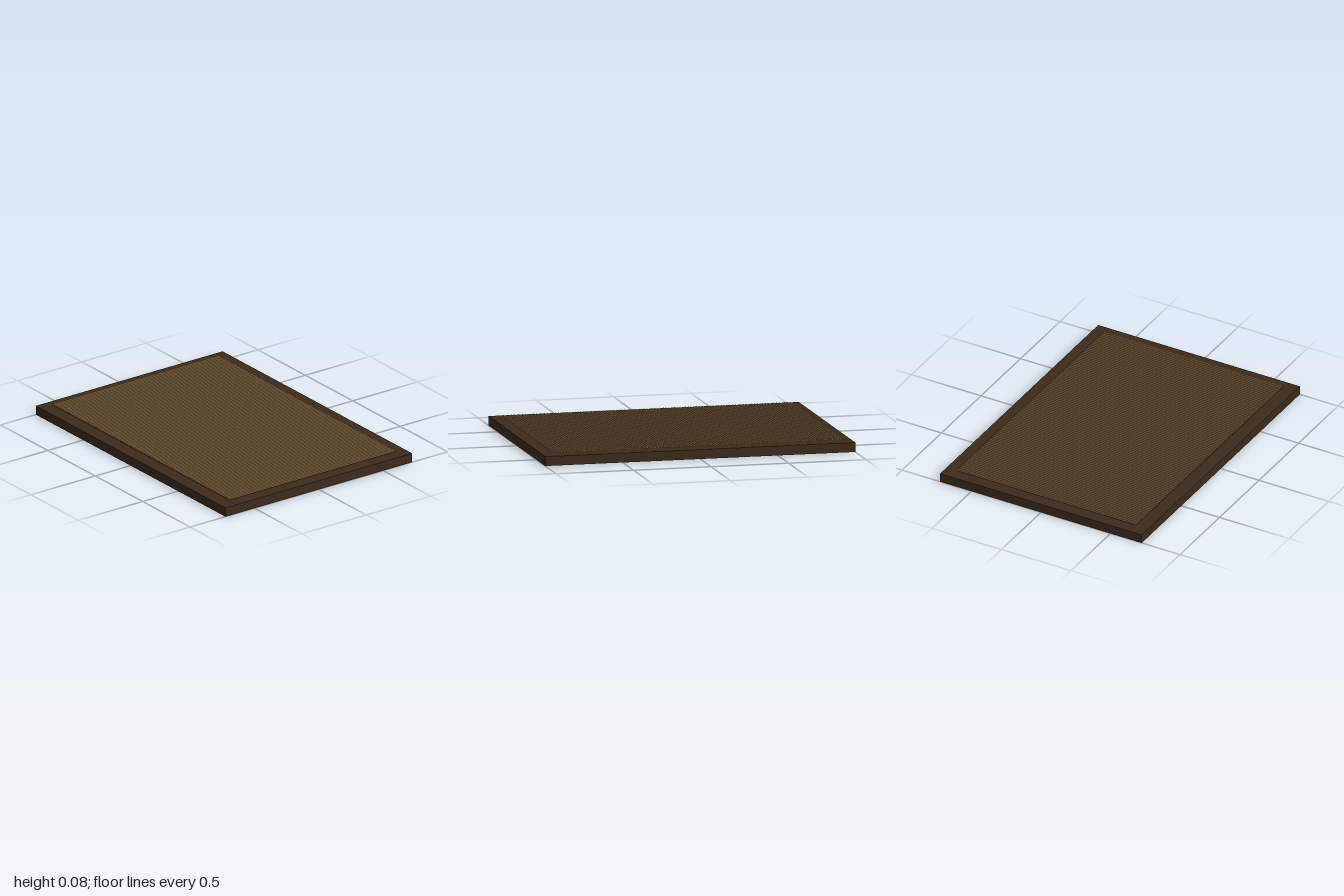
import * as THREE from 'three';

export function createModel() {
  const group = new THREE.Group();
  const darkWood = new THREE.MeshStandardMaterial({ color: 0x3d2b1c });
  const bamboo = new THREE.MeshStandardMaterial({ color: 0xb98d5c, flatShading: true });

  // Solid dark board
  const board = new THREE.Mesh(new THREE.BoxGeometry(2, 0.06, 1.45), darkWood);
  board.name = 'board';
  board.position.y = 0.03;
  group.add(board);

  // Row of thin sticks running front to back, just above the board
  const slats = new THREE.Group();
  slats.name = 'slats';
  const count = 105, span = 1.852, radius = 0.0055;
  const stick = new THREE.CylinderGeometry(radius, radius, 1.29, 8);
  stick.rotateY(Math.PI / 8);
  stick.rotateX(Math.PI / 2);
  for (let i = 0; i < count; i++) {
    const slat = new THREE.Mesh(stick, bamboo);
    slat.name = 'slat';
    slat.position.set(-span / 2 + (span * i) / (count - 1), 0.0725, 0);
    slats.add(slat);
  }
  group.add(slats);

  return group;
}
